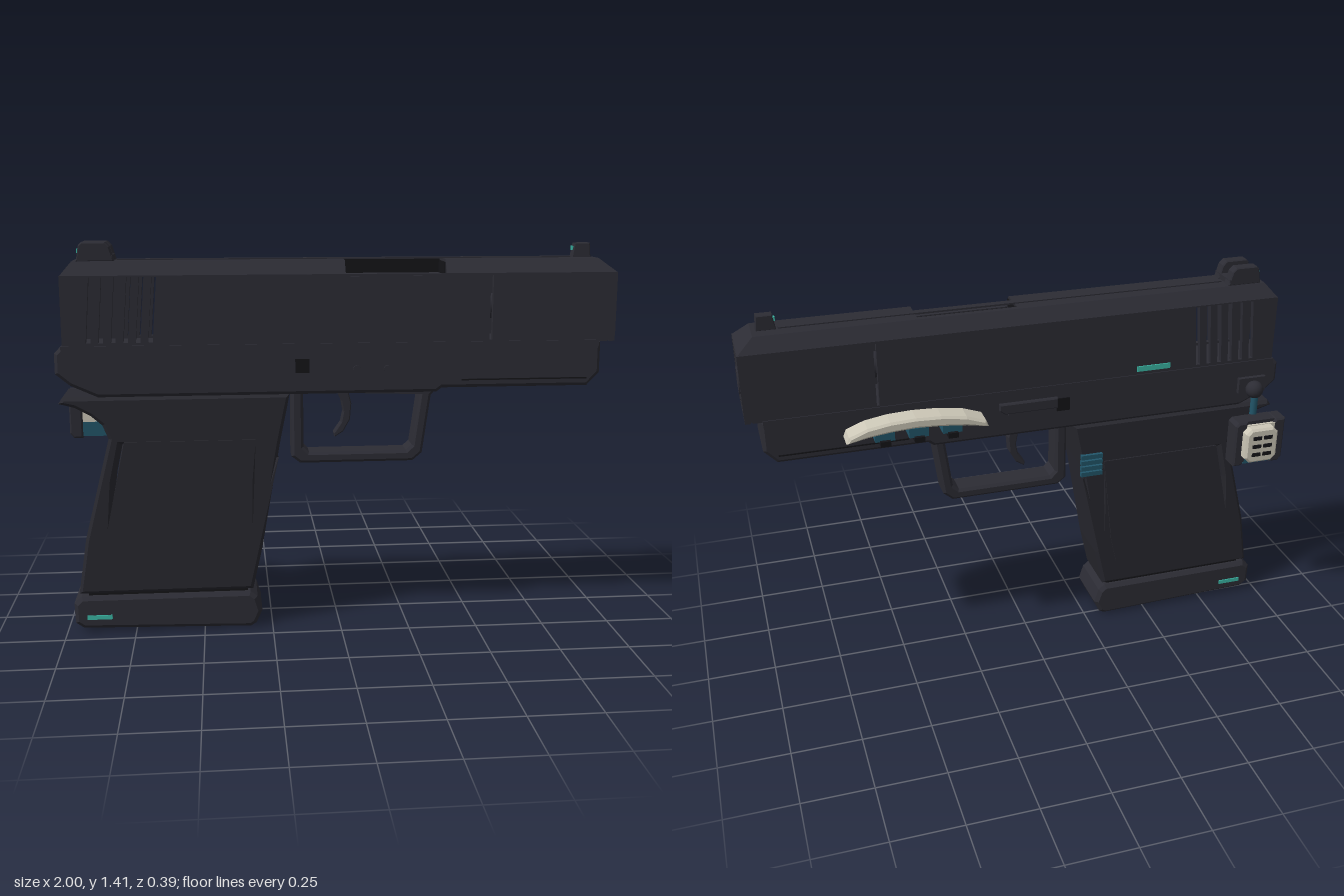
import * as THREE from 'three';

const mat = (name, color) => Object.assign(new THREE.MeshStandardMaterial({ color }), { name });

export function createModel() {
  const body = mat('charcoal', 0x2c2c34), gripMat = mat('dark charcoal', 0x28282f), black = mat('black', 0x141418);
  const bone = mat('bone', 0xcdc8b8), teal = mat('teal', 0x3cb8a6), petrol = mat('petrol blue', 0x22566a);
  const root = new THREE.Group();
  root.name = 'sidearm';
  const core = new THREE.Group(); // local z = 0 is the middle of the slide
  core.name = 'body';
  core.position.z = 0.075;
  root.add(core);

  const add = (name, geo, m, x = 0, y = 0, z = 0) => {
    const mesh = new THREE.Mesh(geo, m);
    mesh.name = name;
    mesh.position.set(x, y, z);
    core.add(mesh);
    return mesh;
  };
  // box given by its limits
  const box = (name, m, x0, x1, y0, y1, z0, z1) =>
    add(name, new THREE.BoxGeometry(x1 - x0, y1 - y0, z1 - z0), m, (x0 + x1) / 2, (y0 + y1) / 2, (z0 + z1) / 2);
  const poly = (p) => p.map(([x, y]) => new THREE.Vector2(x, y));
  // side profile extruded across z, centred, with chamfered rims
  const ext = (pts, depth, bevel = 0, holes = []) => {
    const s = new THREE.Shape(poly(pts));
    holes.forEach((h) => s.holes.push(new THREE.Path(poly(h))));
    const g = new THREE.ExtrudeGeometry(s, {
      depth: depth - 2 * bevel, bevelEnabled: bevel > 0, bevelSize: bevel, bevelThickness: bevel,
      bevelOffset: -bevel, bevelSegments: 1, curveSegments: 10,
    });
    return g.translate(0, 0, -(depth - 2 * bevel) / 2);
  };
  // block whose top face has its own limits
  const taper = (b, t, y0, y1) => {
    const g = new THREE.BoxGeometry(1, 1, 1).toNonIndexed(), p = g.attributes.position;
    for (let i = 0; i < p.count; i++) {
      const r = p.getY(i) > 0 ? t : b;
      p.setXYZ(i, p.getX(i) < 0 ? r[0] : r[1], p.getY(i) > 0 ? y1 : y0, p.getZ(i) < 0 ? r[2] : r[3]);
    }
    g.computeVertexNormals();
    return g;
  };
  const alongX = (r, len, n = 20) => new THREE.CylinderGeometry(r, r, len, n).rotateZ(Math.PI / 2);
  const sides = [-1, 1];

  // Slide: two slotted side walls, a roof in sections and a pierced front cap
  const slots = [];
  for (let i = 0; i < 6; i++) {
    const x = -0.888 + i * 0.043;
    slots.push([[x, 1.065], [x + 0.016, 1.065], [x + 0.034, 1.293], [x + 0.018, 1.293]]);
  }
  slots.push([[0.538, 1.06], [0.548, 1.06], [0.548, 1.29], [0.538, 1.29]]);
  const wall = [[-0.97, 1.05], [0.97, 1.05], [1, 1.07], [1, 1.298], [-0.97, 1.298]];
  for (const s of sides) add('slideWall', ext(wall, 0.02, 0, slots), body, 0, 0, s * 0.098);
  const W = 0.108, T = 0.066;
  add('slideRoofRear', taper([-0.97, 0.02, -W, W], [-0.93, 0.02, -T, T], 1.296, 1.345), body);
  add('slideRoofPort', taper([0.02, 0.38, -W, -0.045], [0.02, 0.38, -T, -0.045], 1.296, 1.345), body);
  add('slideRoofFront', taper([0.38, 1, -W, W], [0.38, 0.94, -T, T], 1.296, 1.345), body);
  box('topRib', body, -0.78, 0.85, 1.343, 1.349, -0.014, 0.014);
  box('portInnerWall', black, 0.022, 0.378, 1.29, 1.344, -0.046, -0.041);
  box('chamberHood', body, 0.025, 0.375, 1.15, 1.29, -0.045, 0.111);
  for (const x of [0.022, 0.378]) box('portEnd', black, x - 0.002, x + 0.002, 1.29, 1.335, -0.042, 0.07);

  const cap = new THREE.Shape(poly([[-W, 1.05], [W, 1.05], [W, 1.298], [-W, 1.298]]));
  cap.holes.push(new THREE.Path().absarc(0, 1.078, 0.021, 0, Math.PI * 2, true));
  add('frontCap', new THREE.ExtrudeGeometry(cap, { depth: 0.02, bevelEnabled: false }).rotateY(Math.PI / 2), body, 0.979);
  for (const s of sides) box('rearRim', body, -0.968, -0.95, 1.05, 1.298, s * 0.092 - 0.014, s * 0.092 + 0.014);

  // Barrel and muzzle
  add('barrel', alongX(0.046, 0.95), body, 0.51, 1.17);
  add('muzzleRing', new THREE.TorusGeometry(0.044, 0.006, 6, 24).rotateY(Math.PI / 2), body, 0.998, 1.17);
  add('muzzleBore', alongX(0.026, 0.006), black, 0.998, 1.17);

  // Sights
  const rear = [[-0.915, 1.345], [-0.785, 1.345], [-0.8, 1.395], [-0.815, 1.41], [-0.895, 1.41], [-0.905, 1.4]];
  for (const s of sides) {
    add('rearSightPost', ext(rear, 0.042, 0.004), body, 0, 0, s * 0.043);
    box('rearSightDot', teal, -0.913, -0.905, 1.372, 1.388, s * 0.043 - 0.008, s * 0.043 + 0.008);
  }
  box('rearSightBase', body, -0.91, -0.79, 1.34, 1.365, -0.063, 0.063);
  add('frontSight', ext([[0.855, 1.343], [0.925, 1.343], [0.92, 1.397], [0.865, 1.397]], 0.036, 0.003), body);
  box('frontSightDot', teal, 0.856, 0.862, 1.37, 1.385, -0.007, 0.007);

  // Frame
  add('frame', ext([[-0.98, 1.05], [-1, 1.03], [-1, 0.957], [-0.95, 0.915], [-0.855, 0.872], [0.35, 0.872], [0.37, 0.887],
    [0.905, 0.887], [0.95, 0.935], [0.95, 1.05]], 0.216, 0.012), body);
  box('frameShoulder', body, -0.975, 0.94, 1.03, 1.055, -0.112, 0.112);
  for (const s of sides) {
    box('railGroove', black, 0.44, 0.9, 0.914, 0.919, s * 0.108 - 0.003, s * 0.108 + 0.003);
    box('squarePin', black, -0.16, -0.11, 0.95, 1, s * 0.109 - 0.003, s * 0.109 + 0.003);
    for (const x of [0.06, 0.17]) add('roundPin', new THREE.CylinderGeometry(0.014, 0.014, 0.01, 12).rotateX(Math.PI / 2), body, x, 0.96, s * 0.111);
  }
  for (const x of [0.5, 0.72]) box('underRailSlot', black, x, x + 0.14, 0.884, 0.889, -0.06, 0.06);
  add('slideStop', ext([[-0.11, 0.97], [0.09, 0.97], [0.11, 0.985], [0.11, 1.01], [-0.11, 1.01]], 0.02, 0.004), body, 0, 0, -0.118);
  box('slideStripe', teal, -0.55, -0.42, 1.068, 1.088, -0.113, -0.106);

  // Trigger guard and trigger
  add('triggerGuard', ext([[-0.172, 0.88], [-0.172, 0.63], [-0.14, 0.605], [0.275, 0.605], [0.31, 0.635], [0.34, 0.85], [0.365, 0.88]],
    0.1, 0.01, [[[-0.128, 0.865], [-0.128, 0.665], [-0.108, 0.645], [0.25, 0.645], [0.272, 0.665], [0.3, 0.865]]]), body);
  add('trigger', ext([[-0.01, 0.88], [0.035, 0.88], [0.05, 0.82], [0.045, 0.76], [0.02, 0.715], [-0.012, 0.695], [-0.015, 0.71],
    [0.012, 0.75], [0.02, 0.79], [0.012, 0.83]], 0.045, 0.004), body);

  // Grip with slits either side of the panel
  add('grip', ext([[-0.98, 0.872], [-0.995, 0.85], [-0.94, 0.835], [-0.885, 0.805], [-0.845, 0.77], [-0.825, 0.72], [-0.92, 0.35], [-0.952, 0.145],
    [-0.32, 0.145], [-0.285, 0.3], [-0.215, 0.7], [-0.18, 0.872]], 0.206, 0.012, [
    [[-0.784, 0.7], [-0.777, 0.7], [-0.8, 0.58], [-0.838, 0.4], [-0.815, 0.56]],
    [[-0.297, 0.69], [-0.235, 0.64], [-0.26, 0.56], [-0.316, 0.41], [-0.305, 0.56]]]), gripMat);
  const panel = [[-0.77, 0.71], [-0.305, 0.71], [-0.345, 0.36], [-0.37, 0.25], [-0.41, 0.22], [-0.85, 0.22], [-0.87, 0.25], [-0.84, 0.39]];
  for (const s of sides) add('gripPanel', ext(panel, 0.008), gripMat, 0, 0, s * 0.104);
  for (let i = 0; i < 4; i++) box('releaseRidge', petrol, -0.295, -0.21, 0.66 + i * 0.024, 0.678 + i * 0.024, -0.116, -0.1);

  // Magazine neck and base pad
  box('magazineNeck', black, -0.92, -0.34, 0.12, 0.16, -0.085, 0.085);
  add('basePad', ext([[-0.945, 0.135], [-0.972, 0.11], [-0.97, 0.035], [-0.94, 0.014], [-0.33, 0], [-0.31, 0.012], [-0.288, 0.06],
    [-0.305, 0.115], [-0.33, 0.135]], 0.216, 0.014), body);
  for (const s of sides) box('basePadStripe', teal, -0.925, -0.835, 0.05, 0.066, s * 0.109 - 0.003, s * 0.109 + 0.003);

  // Curved side handle
  const arch = [[0.17, 0.97], [0.18, 0.995], [0.25, 1.02], [0.34, 1.033], [0.43, 1.037], [0.52, 1.033], [0.6, 1.02], [0.665, 0.995], [0.675, 0.97],
    [0.6, 0.985], [0.52, 0.995], [0.43, 1], [0.34, 0.995], [0.25, 0.985]];
  add('sideHandle', ext(arch, 0.086, 0.008), bone, 0, 0, -0.163);
  for (const x of [0.3, 0.42, 0.54]) {
    box('handlePad', petrol, x - 0.035, x + 0.035, 0.96, 0.995, -0.192, -0.125);
    box('handleFoot', black, x - 0.018, x + 0.018, 0.945, 0.965, -0.205, -0.1);
  }

  // Hanging rear module on a ball joint
  box('jointPlate', body, -0.945, -0.835, 0.93, 0.99, -0.125, -0.1);
  add('jointBall', new THREE.SphereGeometry(0.034, 14, 10), body, -0.89, 0.95, -0.145);
  add('jointStem', new THREE.CylinderGeometry(0.014, 0.014, 0.12, 10), petrol, -0.89, 0.89, -0.152);
  for (const x of [-0.967, -0.812])
    add('moduleSide', ext([[x - 0.024, 0.69], [x - 0.01, 0.672], [x + 0.024, 0.672], [x + 0.024, 0.84], [x + 0.012, 0.853], [x - 0.024, 0.853]], 0.075, 0.006), body, 0, 0, -0.188);
  box('moduleTop', body, -0.95, -0.83, 0.835, 0.853, -0.215, -0.155);
  box('moduleCore', bone, -0.95, -0.83, 0.73, 0.84, -0.225, -0.16);
  box('moduleBase', petrol, -0.95, -0.83, 0.678, 0.732, -0.222, -0.158);
  add('moduleFace', ext([[-0.945, 0.72], [-0.925, 0.7], [-0.835, 0.7], [-0.815, 0.72], [-0.815, 0.82], [-0.835, 0.84], [-0.925, 0.84], [-0.945, 0.82]],
    0.045, 0.008), bone, 0, 0, -0.243);
  for (let i = 0; i < 3; i++)
    for (const x of [-0.902, -0.858]) box('moduleVent', black, x - 0.017, x + 0.017, 0.729 + i * 0.034, 0.743 + i * 0.034, -0.27, -0.262);
  return root;
}
